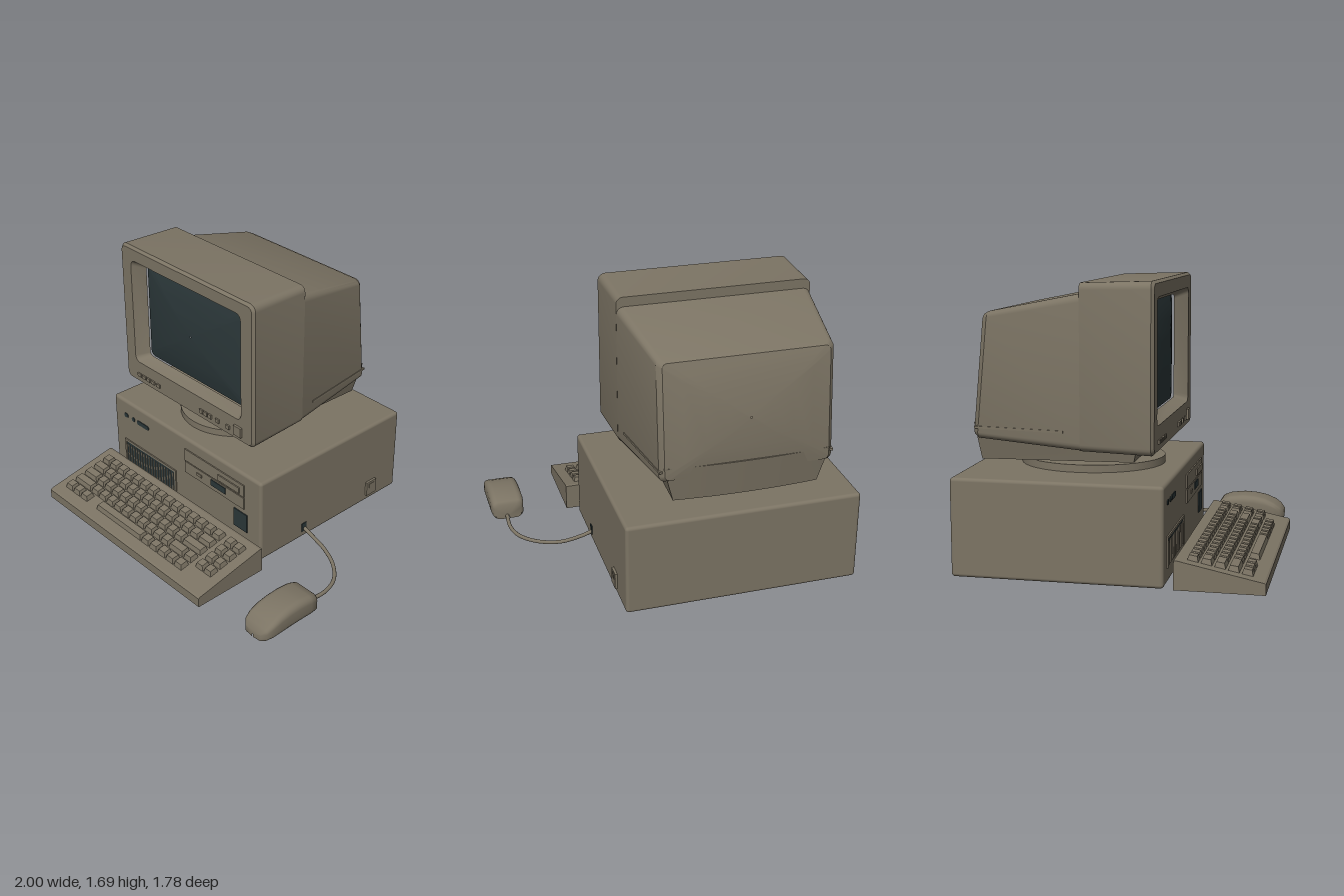
import * as THREE from 'three';
import { mergeGeometries, toCreasedNormals } from 'three/addons/utils/BufferGeometryUtils.js';
import { RoundedBoxGeometry } from 'three/addons/geometries/RoundedBoxGeometry.js';

const material = (name, color) => {
  const m = new THREE.MeshStandardMaterial({ color });
  m.name = name;
  return m;
};

// Rounded rectangle of points, counter-clockwise seen from +z; z is a number or a rule
function ring(cx, cy, w, h, r, z, n = 5) {
  const points = [];
  [[1, -1], [1, 1], [-1, 1], [-1, -1]].forEach(([sx, sy], corner) => {
    for (let k = 0; k <= n; k++) {
      const a = (corner - 1 + k / n) * Math.PI / 2;
      const x = cx + sx * (w / 2 - r) + r * Math.cos(a);
      const y = cy + sy * (h / 2 - r) + r * Math.sin(a);
      points.push([x, y, typeof z === 'function' ? z(x, y) : z]);
    }
  });
  return points;
}

// Skin through rings, ordered from back to front on the outside
function loft(rings, crease = 0.6) {
  const n = rings[0].length, index = [];
  for (let i = 0; i < rings.length - 1; i++) {
    for (let j = 0; j < n; j++) {
      const a = i * n + j, b = i * n + (j + 1) % n;
      index.push(a, b, b + n, a, b + n, a + n);
    }
  }
  const g = new THREE.BufferGeometry();
  g.setAttribute('position', new THREE.Float32BufferAttribute(rings.flat(2), 3));
  g.setIndex(index);
  return toCreasedNormals(g, crease);
}

// Move every vertex by a rule
function reshape(g, rule) {
  const p = g.attributes.position, v = new THREE.Vector3();
  for (let i = 0; i < p.count; i++) {
    rule(v.fromBufferAttribute(p, i));
    p.setXYZ(i, v.x, v.y, v.z);
  }
  return toCreasedNormals(g, 0.5);
}

export function createModel() {
  const model = new THREE.Group();
  const beige = material('beige plastic', 0x7c7464);
  const dark = material('dark glass', 0x2b3739);

  const add = (name, geometry, mat = beige, parent = model) => {
    const mesh = new THREE.Mesh(geometry, mat);
    mesh.name = name;
    parent.add(mesh);
    return mesh;
  };
  const group = (name) => {
    const g = new THREE.Group();
    g.name = name;
    model.add(g);
    return g;
  };
  // Box given by its extents
  const slab = (name, x0, x1, y0, y1, z0, z1, mat, parent) => {
    const m = add(name, new THREE.BoxGeometry(x1 - x0, y1 - y0, z1 - z0), mat, parent);
    m.position.set((x0 + x1) / 2, (y0 + y1) / 2, (z0 + z1) / 2);
    return m;
  };

  // System unit
  const unit = group('systemUnit');
  add('case', new RoundedBoxGeometry(1.43, 0.57, 1.22, 3, 0.02), beige, unit).position.set(-0.285, 0.305, -0.28);
  const f = 0.33;
  slab('ventOpening', -0.88, -0.39, 0.12, 0.275, f - 0.002, f + 0.003, dark, unit);
  slab('ventFrameTop', -0.9, -0.37, 0.275, 0.29, f - 0.005, f + 0.008, beige, unit);
  for (const x of [-0.9, -0.385]) slab('ventFrameSide', x, x + 0.015, 0.11, 0.275, f - 0.005, f + 0.008, beige, unit);
  for (let i = 0; i < 18; i++) {
    const x = -0.865 + i * 0.027;
    slab('ventBar', x, x + 0.007, 0.12, 0.26, f, f + 0.007, beige, unit);
  }
  slab('powerPanel', 0.19, 0.31, 0.17, 0.3, f - 0.002, f + 0.006, dark, unit);
  slab('upperDriveBay', -0.27, 0.285, 0.425, 0.51, f - 0.005, f + 0.008, beige, unit);
  slab('lowerDriveBay', -0.27, 0.285, 0.335, 0.418, f - 0.005, f + 0.008, beige, unit);
  slab('driveHandle', 0.055, 0.25, 0.44, 0.48, f, f + 0.016, beige, unit);
  slab('diskSlot', -0.015, 0.12, 0.365, 0.408, f, f + 0.013, dark, unit);
  slab('diskEject', -0.15, -0.105, 0.37, 0.39, f, f + 0.014, beige, unit);
  for (const [x, w] of [[-0.875, 0.04], [-0.8, 0.03], [-0.7, 0.12]]) {
    const light = new THREE.ExtrudeGeometry(
      new THREE.Shape(ring(x, 0.48, w, 0.03, 0.014, 0).map(([px, py]) => new THREE.Vector2(px, py))),
      { depth: 0.006, bevelEnabled: false });
    add('indicator', light, dark, unit).position.z = f - 0.001;
  }
  slab('sideSocket', 0.425, 0.445, 0.065, 0.165, -0.69, -0.605, beige, unit);
  slab('sideSocketInset', 0.44, 0.448, 0.12, 0.15, -0.67, -0.625, beige, unit);
  slab('mousePort', 0.425, 0.435, 0.065, 0.125, -0.06, -0.02, dark, unit);

  // Swivel stand
  const stand = group('swivelStand');
  for (const [name, rx, rz, y, h, z] of [['standPlate', 0.38, 0.43, 0.612, 0.044, -0.22], ['standNeck', 0.25, 0.295, 0.65, 0.04, -0.235]]) {
    const disc = add(name, new THREE.CylinderGeometry(1, 1, h, 48), beige, stand);
    disc.scale.set(rx, 1, rz);
    disc.position.set(-0.33, y, z);
  }

  // Monitor front housing with sloping recess
  const monitor = group('monitor'), cx = -0.32;
  add('frontHousing', loft([
    ring(cx, 1.213, 0.01, 0.01, 0.001, -0.155),
    ring(cx, 1.213, 1.2, 0.93, 0.04, -0.155),
    ring(cx, 1.213, 1.22, 0.955, 0.045, 0.245),
    ring(cx, 1.213, 1.19, 0.925, 0.035, 0.262),
    ring(-0.325, 1.245, 1.01, 0.71, 0.04, 0.262),
    ring(-0.325, 1.24, 0.91, 0.64, 0.03, 0.18),
  ]), beige, monitor);

  // Bulging picture tube
  const glassZ = (x, y) => 0.215 - 0.035 * (((x + 0.325) / 0.46) ** 2 + ((y - 1.24) / 0.32) ** 2) / 1.3;
  add('screen', loft([1, 0.8, 0.6, 0.4, 0.2, 0.01].map((s) =>
    ring(-0.325, 1.24, 0.92 * s, 0.65 * s, 0.03 * s, glassZ)), 1), dark, monitor);

  // Tapered rear shell with curved back
  const backZ = (x, y) => -0.83 + 0.03 * ((x - cx) / 0.52) ** 2 + (y > 1 ? 0.075 : 0.04) * ((y - 1) / 0.5) ** 2;
  const backRings = [0.01, 0.25, 0.5, 0.75, 0.97].map((s) => ring(cx, 1.15, 1.02 * s, 0.71 * s, 0.03 * s, backZ));
  add('rearShell', loft([
    ...backRings,
    ring(cx, 1.15, 1.045, 0.72, 0.035, (x, y) => backZ(x, y) + 0.025),
    ring(cx, 1.185, 1.2, 0.87, 0.045, -0.15),
  ], 0.5), beige, monitor);
  for (const s of [-1, 1]) {
    const ridge = slab('sideRidge', -0.01, 0.01, 0.845, 0.858, -0.27, 0.27, beige, monitor);
    ridge.position.set(cx + s * 0.548, 0.855, -0.52);
    ridge.rotation.y = s * 0.124;
  }

  // Chin below the shell, narrowing downwards
  add('chin', reshape(new THREE.BoxGeometry(2, 1, 1, 12, 4, 1), (v) => {
    const up = v.y + 0.5, back = v.z < 0;
    v.x = cx + v.x * (back ? 0.44 + 0.06 * up : 0.415 + 0.02 * up);
    v.y = back ? 0.66 + 0.22 * up : 0.665 + 0.105 * up;
    v.z = back ? backZ(v.x, 1) + 0.035 - 0.03 * up : 0.11 + 0.025 * up;
  }), beige, monitor);

  // Monitor controls
  for (const x of [-0.79, -0.745, -0.7, -0.655, -0.6]) slab('leftControl', x - 0.017, x + 0.017, 0.787, 0.81, 0.255, 0.272, beige, monitor);
  for (const x of [-0.18, -0.14, -0.1, -0.03, 0.065]) slab('rightControl', x - 0.015, x + 0.015, 0.785, 0.812, 0.255, 0.272, beige, monitor);
  slab('powerButton', 0.125, 0.19, 0.78, 0.845, 0.255, 0.277, beige, monitor);

  // Keyboard wedge
  const keyboard = group('keyboard');
  const slopeY = (z) => 0.085 + (0.89 - z) * 0.2;
  const side = new THREE.Shape([[-0.89, 0.02], [-0.385, 0.02], [-0.385, 0.184], [-0.4, 0.186], [-0.88, 0.088], [-0.89, 0.08]]
    .map(([a, b]) => new THREE.Vector2(a, b)));
  const wedge = add('keyboardBody', new THREE.ExtrudeGeometry(side, { depth: 1.5, bevelEnabled: false }), beige, keyboard);
  wedge.rotation.y = Math.PI / 2;
  wedge.position.x = -1;

  // Keys: row widths in key units, negative for a gap
  const keys = [], pitch = 0.0793, ones = (n) => Array(n).fill(1);
  const addKey = (x, z, w) => {
    const key = reshape(new THREE.BoxGeometry(1, 1, 1), (v) => {
      const top = v.y > 0;
      v.x *= w - (top ? 0.026 : 0.008);
      v.z = v.z * (top ? 0.046 : 0.066) - (top ? 0.004 : 0);
      v.y = top ? 0.032 : -0.005;
    });
    keys.push(key.rotateX(0.16).translate(x + w / 2, slopeY(z), z));
  };
  const rows = [
    ones(15),
    [1.5, ...ones(12), 1.5],
    [1.75, ...ones(11), 2.25],
    [2.25, ...ones(10), 1.75, 1],
    [1, 1, 1, -1.2, 5.8, 1, 1, 1, 1, 1],
  ];
  rows.forEach((row, i) => {
    const z = 0.48 + i * 0.0755;
    let x = -0.935;
    for (const w of row) {
      if (w > 0) addKey(x, z, w * pitch);
      x += Math.abs(w) * pitch;
    }
    if (i < 4) for (const px of [0.288, 0.362]) addKey(px, z, 0.074);
  });
  add('keys', mergeGeometries(keys), beige, keyboard);

  // Mouse: z, width and height of each section
  const mouse = group('mouse'), mx = 0.888;
  const sections = [[0.385, 0.01, 0.03], [0.385, 0.17, 0.11], [0.4, 0.2, 0.127], [0.45, 0.214, 0.145], [0.54, 0.214, 0.156],
    [0.62, 0.214, 0.152], [0.69, 0.214, 0.138], [0.75, 0.208, 0.112], [0.79, 0.185, 0.085], [0.815, 0.13, 0.055], [0.82, 0.01, 0.03]];
  add('mouseBody', loft(sections.map(([z, w, top]) =>
    ring(mx, (top + 0.008) / 2, w, top - 0.008, Math.min(w, top - 0.008) * 0.3, z)), 0.8), beige, mouse);
  slab('mouseUnderside', 0.82, 0.955, 0.004, 0.01, 0.43, 0.62, dark, mouse);

  // Mouse cable
  const path = new THREE.CatmullRomCurve3([[0.425, 0.085, -0.045], [0.5, 0.06, -0.045], [0.63, 0.03, -0.03], [0.76, 0.018, 0.03],
    [0.86, 0.016, 0.13], [0.9, 0.018, 0.25], [0.898, 0.03, 0.4]].map((p) => new THREE.Vector3(...p)));
  add('mouseCable', new THREE.TubeGeometry(path, 48, 0.012, 10), beige, mouse);

  return model;
}
